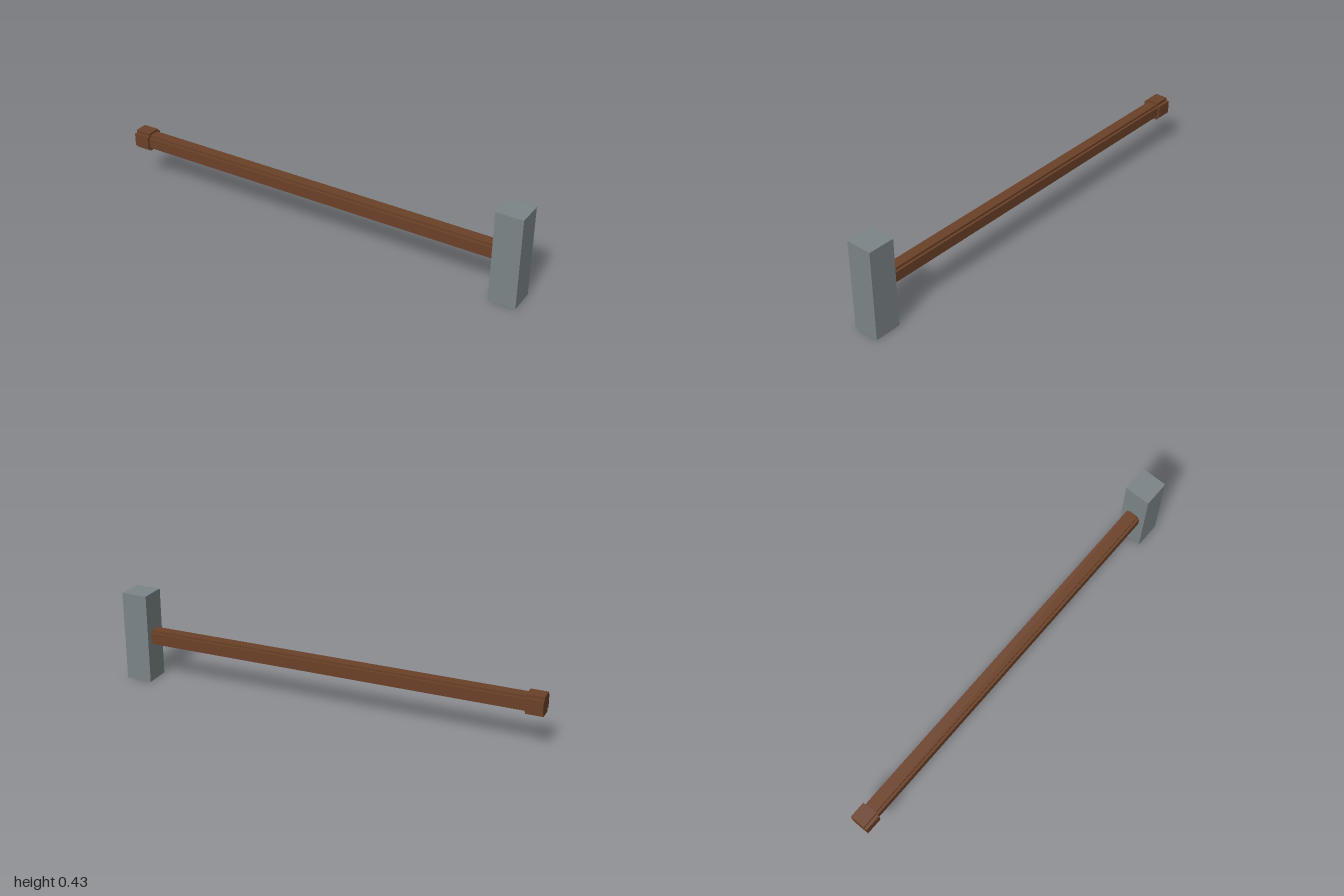
import * as THREE from 'three';

const AXIS_Y = 0.2135; // height of the handle axis

export function createModel() {
  const steel = new THREE.MeshStandardMaterial({ color: 0x7b8487 });
  steel.name = 'steel';
  const wood = new THREE.MeshStandardMaterial({ color: 0x6b4028 });
  wood.name = 'wood';

  const model = new THREE.Group();
  model.name = 'hammer';

  // Block from x0 to x1, centred on the handle axis
  function block(name, x0, x1, height, depth, material, parent) {
    const mesh = new THREE.Mesh(new THREE.BoxGeometry(x1 - x0, height, depth), material);
    mesh.name = name;
    mesh.position.set((x0 + x1) / 2, AXIS_Y, 0);
    parent.add(mesh);
  }

  // Rod with stepped corners: a tall and a wide block crossing each other
  function steppedRod(name, x0, x1, size, inner) {
    const rod = new THREE.Group();
    rod.name = name;
    block(name + 'Tall', x0, x1, size, inner, wood, rod);
    block(name + 'Wide', x0, x1, inner, size, wood, rod);
    model.add(rod);
  }

  block('head', 0.875, 1, 0.427, 0.124, steel, model);
  steppedRod('handle', -0.925, 0.875, 0.07, 0.048);
  steppedRod('pommel', -1, -0.922, 0.09, 0.062);

  return model;
}
